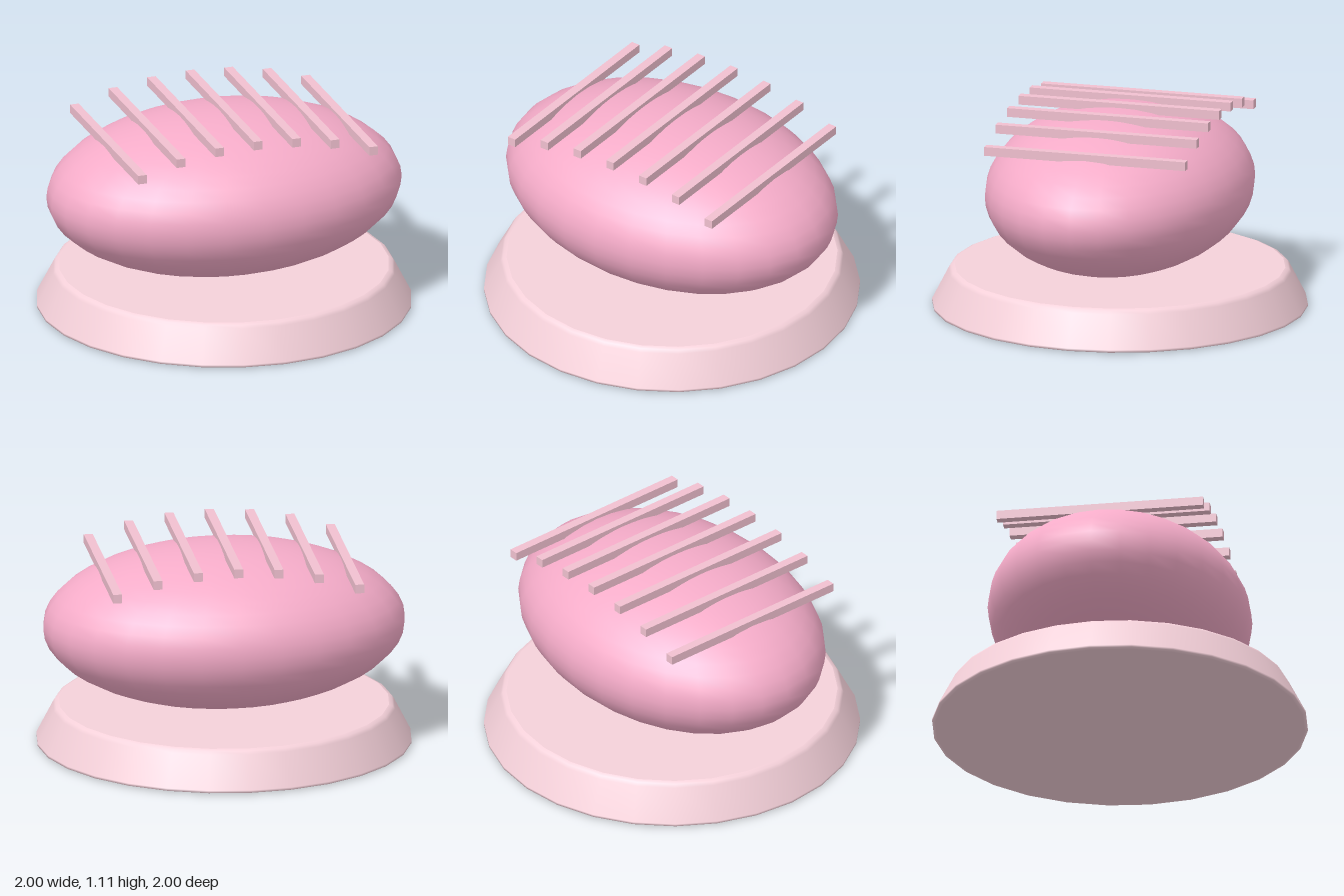
import * as THREE from 'three';

const material = (color) => new THREE.MeshStandardMaterial({ color });

function addMesh(parent, name, geometry, mat) {
  const mesh = new THREE.Mesh(geometry, mat);
  mesh.name = name;
  parent.add(mesh);
  return mesh;
}

export function createModel() {
  const model = new THREE.Group();
  model.name = 'ovalBodyOnPlate';
  const segments = 28;
  const radius = { x: 0.97, y: 0.435, z: 0.695 };
  const centreY = 0.652;

  // Round plate: flaring wall with a softened rim, closed by flat discs
  const plate = new THREE.Group();
  plate.name = 'plate';
  model.add(plate);
  const plateColor = material(0xf4d0d9);
  const wall = [[0.985, 0], [1, 0.005], [1, 0.018], [0.912, 0.19], [0.9, 0.207], [0.88, 0.215]]
    .map(([r, y]) => new THREE.Vector2(r, y));
  addMesh(plate, 'plateWall', new THREE.LatheGeometry(wall, segments), plateColor);
  const top = addMesh(plate, 'plateTop', new THREE.CircleGeometry(0.88, segments), plateColor);
  top.rotation.x = -Math.PI / 2;
  top.position.y = 0.215;
  const bottom = addMesh(plate, 'plateBottom', new THREE.CircleGeometry(0.985, segments), plateColor);
  bottom.rotation.x = Math.PI / 2;

  // Smooth oval body resting on the plate
  const body = addMesh(model, 'body', new THREE.SphereGeometry(1, segments, 24), material(0xf4abc8));
  body.scale.set(radius.x, radius.y, radius.z);
  body.position.y = centreY;

  // Seven straight bars laid front to back along the crown of the body
  const bars = new THREE.Group();
  bars.name = 'bars';
  model.add(bars);
  const barGeometry = new THREE.BoxGeometry(0.048, 0.048, 1.112);
  const barColor = material(0xf0c0cf);
  for (let i = -3; i <= 3; i++) {
    const x = i * 0.2165;
    const y = centreY + radius.y * Math.sqrt(1 - (x / radius.x) ** 2);
    addMesh(bars, 'bar', barGeometry, barColor).position.set(x, y, 0);
  }
  return model;
}
